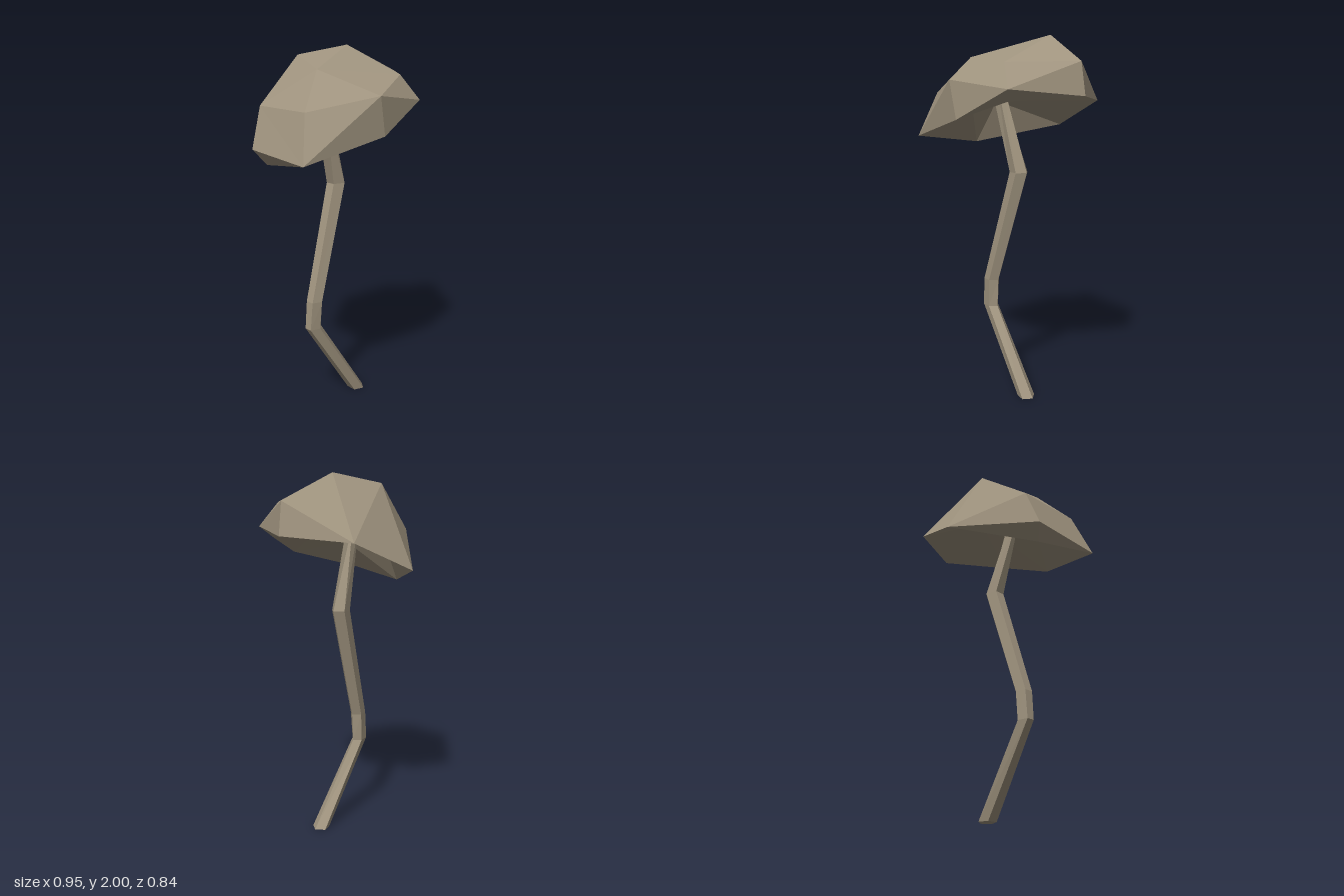
import * as THREE from 'three';

// Flat-faceted mesh from a list of triangles (each three Vector3)
function facetMesh(name, tris, material) {
  const geo = new THREE.BufferGeometry().setFromPoints(tris.flat());
  geo.computeVertexNormals();
  const mesh = new THREE.Mesh(geo, material);
  mesh.name = name;
  return mesh;
}

// Cap corners: rim letters A-G, crown H-N, lower lip P, Q, S, hollow U-W
const corners = {
  A: [-0.065, 1.51, -0.42], B: [0.29, 1.66, -0.327], C: [0.475, 1.69, 0],
  D: [0.288, 1.725, 0.352], E: [-0.07, 1.77, 0.416], F: [-0.477, 1.46, 0.313],
  G: [-0.463, 1.49, -0.107], H: [0.45, 1.86, 0.005], I: [0.2, 1.855, 0.29],
  J: [-0.23, 1.89, 0.13], K: [-0.398, 1.7, 0.234], L: [-0.388, 1.705, -0.133],
  M: [-0.087, 1.95, -0.191], N: [0.168, 2, -0.077],
  P: [0.234, 1.665, 0.297], Q: [-0.03, 1.57, 0.41], S: [-0.405, 1.41, -0.06],
  U: [0.1, 1.79, -0.03], V: [-0.25, 1.65, -0.08], W: [-0.2, 1.63, 0.15],
};
const crownFaces = 'JKL JLM JMN JNI JIE JKE KFE KLF LFG LMA LAG MAB MBN NBH NHI HBC HID HDC IDE';
const lipFaces = 'EFQ EQD DQP DCP FGS GAS';
const hollowFaces = 'PCU CBU BUV BAV ASV SVW SFW FQW QWU QPU UVW';

// Triangles named by their corners, turned so that outward(centre) agrees with the normal
function facets(names, outward) {
  return names.split(' ').map((face) => {
    const [a, b, c] = [...face].map((k) => new THREE.Vector3(...corners[k]));
    const tri = new THREE.Triangle(a, b, c);
    const normal = tri.getNormal(new THREE.Vector3());
    const centre = tri.getMidpoint(new THREE.Vector3());
    return normal.dot(outward(centre)) < 0 ? [a, c, b] : [a, b, c];
  });
}

// Crooked five-sided stem lofted through level rings: x, y, z, x radius, z radius
function stemTriangles() {
  const sides = 5;
  const rings = [
    [0.13, 0, 0.058, 0.05, 0.05],
    [-0.182, 0.47, 0.035, 0.052, 0.038],
    [-0.172, 0.63, 0.037, 0.05, 0.042],
    [0.018, 1.27, 0.004, 0.058, 0.048],
    [-0.125, 1.75, 0.035, 0.05, 0.012],
  ].map(([x, y, z, rx, rz]) => Array.from({ length: sides }, (_, j) => {
    const t = (j / sides) * Math.PI * 2;
    return new THREE.Vector3(x + rx * Math.cos(t), y, z + rz * Math.sin(t));
  }));
  const tris = [];
  for (let i = 0; i < rings.length - 1; i++) {
    for (let j = 0; j < sides; j++) {
      const k = (j + 1) % sides;
      const [a, b, c, d] = [rings[i][j], rings[i][k], rings[i + 1][j], rings[i + 1][k]];
      tris.push([a, c, b], [b, c, d]);
    }
  }
  // Flat foot and hidden top
  const foot = rings[0], top = rings[rings.length - 1];
  for (let j = 1; j < sides - 1; j++) {
    tris.push([foot[0], foot[j], foot[j + 1]], [top[0], top[j + 1], top[j]]);
  }
  return tris;
}

export function createModel() {
  const group = new THREE.Group();
  group.name = 'mushroom';
  const tan = new THREE.MeshStandardMaterial({ color: 0xa0947f });
  tan.name = 'dull tan';

  const middle = new THREE.Vector3(0, 1.68, 0);
  const away = (p) => p.clone().sub(middle);
  const down = () => new THREE.Vector3(0, -1, 0);

  // Cap: crown, turned-under lip and hollow underside
  const cap = new THREE.Group();
  cap.name = 'cap';
  cap.add(
    facetMesh('capCrown', facets(crownFaces, away), tan),
    facetMesh('capLip', facets(lipFaces, away), tan),
    facetMesh('capHollow', facets(hollowFaces, down), tan),
  );

  group.add(cap, facetMesh('stem', stemTriangles(), tan));
  return group;
}
